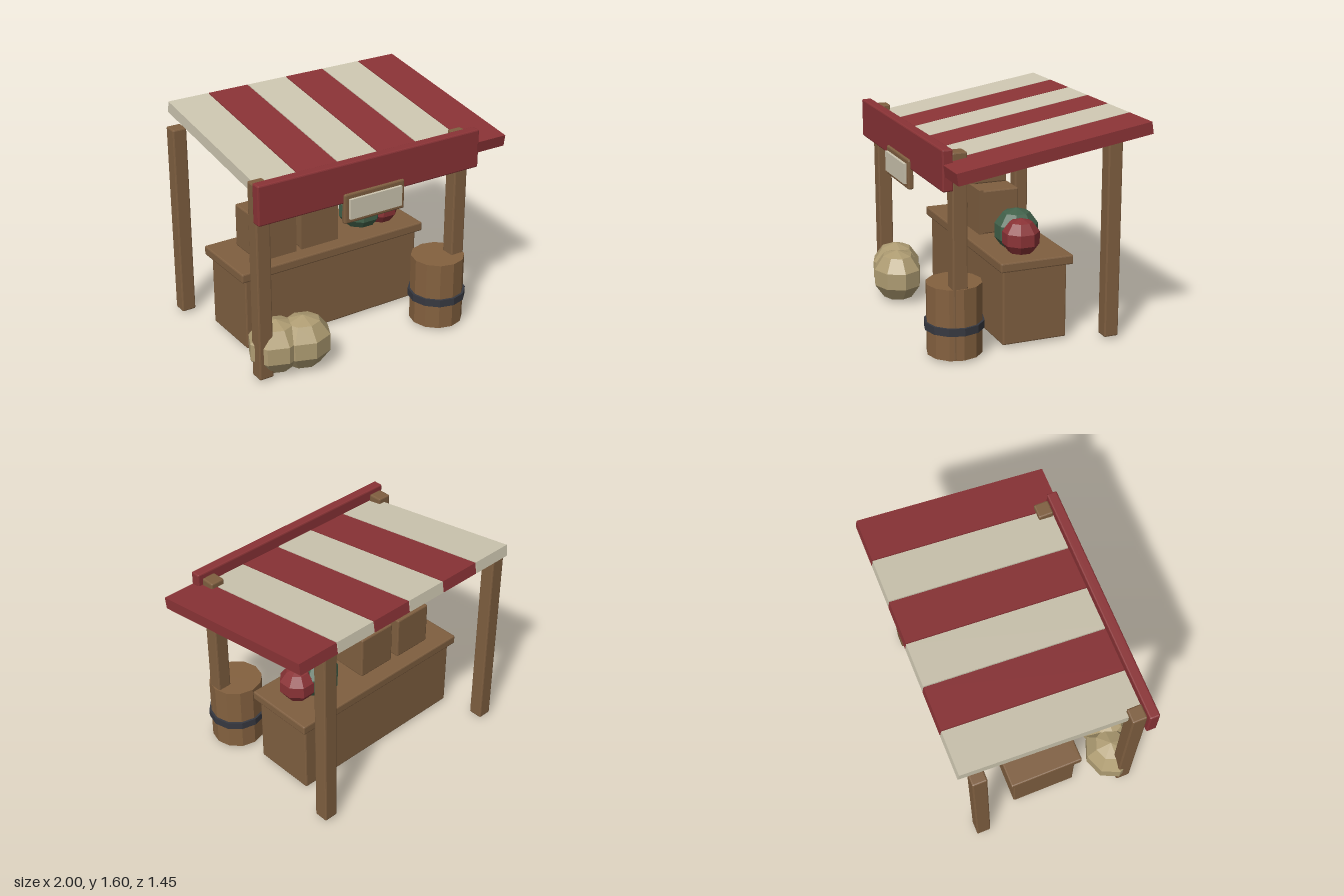
import * as THREE from 'three';
import { RoundedBoxGeometry } from 'three/addons/geometries/RoundedBoxGeometry.js';

const paint = (name, color) => {
  const m = new THREE.MeshStandardMaterial({ color });
  m.name = name;
  return m;
};

// Gives every face its own flat normal
const faceted = (geometry) => {
  const g = geometry.index ? geometry.toNonIndexed() : geometry;
  g.computeVertexNormals();
  return g;
};

export function createModel() {
  const wood = paint('wood', 0x7f5f40);
  const barrelWood = paint('barrel wood', 0x84613f);
  const red = paint('red cloth', 0x8a3336);
  const cream = paint('cream cloth', 0xcdc6b0);
  const green = paint('green melon skin', 0x41614a);
  const sackCloth = paint('sack cloth', 0xae9c72);
  const iron = paint('dark iron', 0x363840);

  const stall = new THREE.Group();
  stall.name = 'marketStall';

  const add = (parent, name, geometry, material, x, y, z) => {
    const mesh = new THREE.Mesh(geometry, material);
    mesh.name = name;
    mesh.position.set(x, y, z);
    parent.add(mesh);
    return mesh;
  };

  // Box between two corners, with optional small bevel
  const box = (parent, name, material, [x0, x1], [y0, y1], [z0, z1], bevel = 0.01) => {
    const size = [x1 - x0, y1 - y0, z1 - z0];
    const geometry = bevel
      ? faceted(new RoundedBoxGeometry(...size, 1, bevel))
      : new THREE.BoxGeometry(...size);
    return add(parent, name, geometry, material, (x0 + x1) / 2, (y0 + y1) / 2, (z0 + z1) / 2);
  };

  // Low-poly ball
  const ball = (parent, name, material, position, radii, turn = 0) => {
    const g = new THREE.SphereGeometry(1, 8, 5).rotateY(turn).scale(...radii);
    return add(parent, name, faceted(g), material, ...position);
  };

  // Four posts
  for (const x of [-0.922, 0.677]) {
    for (const [z, name] of [[0.53, 'frontPost'], [-0.595, 'backPost']]) {
      box(stall, name, wood, [x - 0.053, x + 0.053], [0.02, 1.453], [z - 0.053, z + 0.053]);
    }
  }

  // Counter
  box(stall, 'counterBody', wood, [-0.84, 0.6], [0.02, 0.565], [-0.302, 0.174]);
  box(stall, 'counterTop', wood, [-0.88, 0.64], [0.56, 0.628], [-0.335, 0.204]);

  // Sloping striped awning
  const awning = new THREE.Group();
  awning.name = 'awning';
  awning.position.set(0, 1.455, -0.035);
  awning.rotation.x = 0.158;
  stall.add(awning);
  for (let i = 0; i < 6; i++) {
    const stripe = new THREE.BoxGeometry(0.314, 0.083, 1.383);
    add(awning, 'awningStripe', stripe, i % 2 ? red : cream, -0.759 + i * 0.3205, 0, 0);
  }
  box(stall, 'valance', red, [-1, 0.76], [1.205, 1.485], [0.586, 0.66]);

  // Hanging sign
  box(stall, 'signFrame', wood, [-0.36, 0.12], [1.062, 1.273], [0.637, 0.677]);
  box(stall, 'signPanel', cream, [-0.328, 0.086], [1.097, 1.24], [0.67, 0.697], 0);

  // Stacked crates, each with a slightly larger front board
  const crate = (x, y, front, width, height, depth) => {
    const group = new THREE.Group();
    group.name = 'crate';
    stall.add(group);
    const w = width / 2;
    box(group, 'crateBody', wood, [x - w + 0.003, x + w - 0.003], [y, y + height - 0.007], [front - depth, front - 0.02]);
    box(group, 'crateFrontBoard', wood, [x - w, x + w], [y, y + height], [front - 0.032, front], 0);
  };
  crate(-0.535, 0.628, 0.098, 0.31, 0.329, 0.318);
  crate(-0.183, 0.628, 0.095, 0.305, 0.329, 0.305);
  crate(-0.362, 0.95, 0.082, 0.273, 0.292, 0.28);

  // Melons resting on the counter
  ball(stall, 'greenMelon', green, [0.266, 0.735, -0.065], [0.162, 0.162, 0.162], Math.PI / 8);
  ball(stall, 'redMelon', red, [0.425, 0.73, -0.032], [0.137, 0.137, 0.137], Math.PI / 8);

  // Sacks at the left front post
  ball(stall, 'sack', sackCloth, [-0.605, 0.199, 0.535], [0.21, 0.197, 0.187]);
  ball(stall, 'sack', sackCloth, [-0.79, 0.199, 0.485], [0.21, 0.197, 0.19]);

  // Barrel with an iron hoop
  const drum = (radius, height) => faceted(new THREE.CylinderGeometry(radius, radius, height, 12));
  add(stall, 'barrel', drum(0.193, 0.502), barrelWood, 0.551, 0.271, 0.512);
  add(stall, 'barrelHoop', drum(0.209, 0.054), iron, 0.551, 0.227, 0.512);

  return stall;
}
